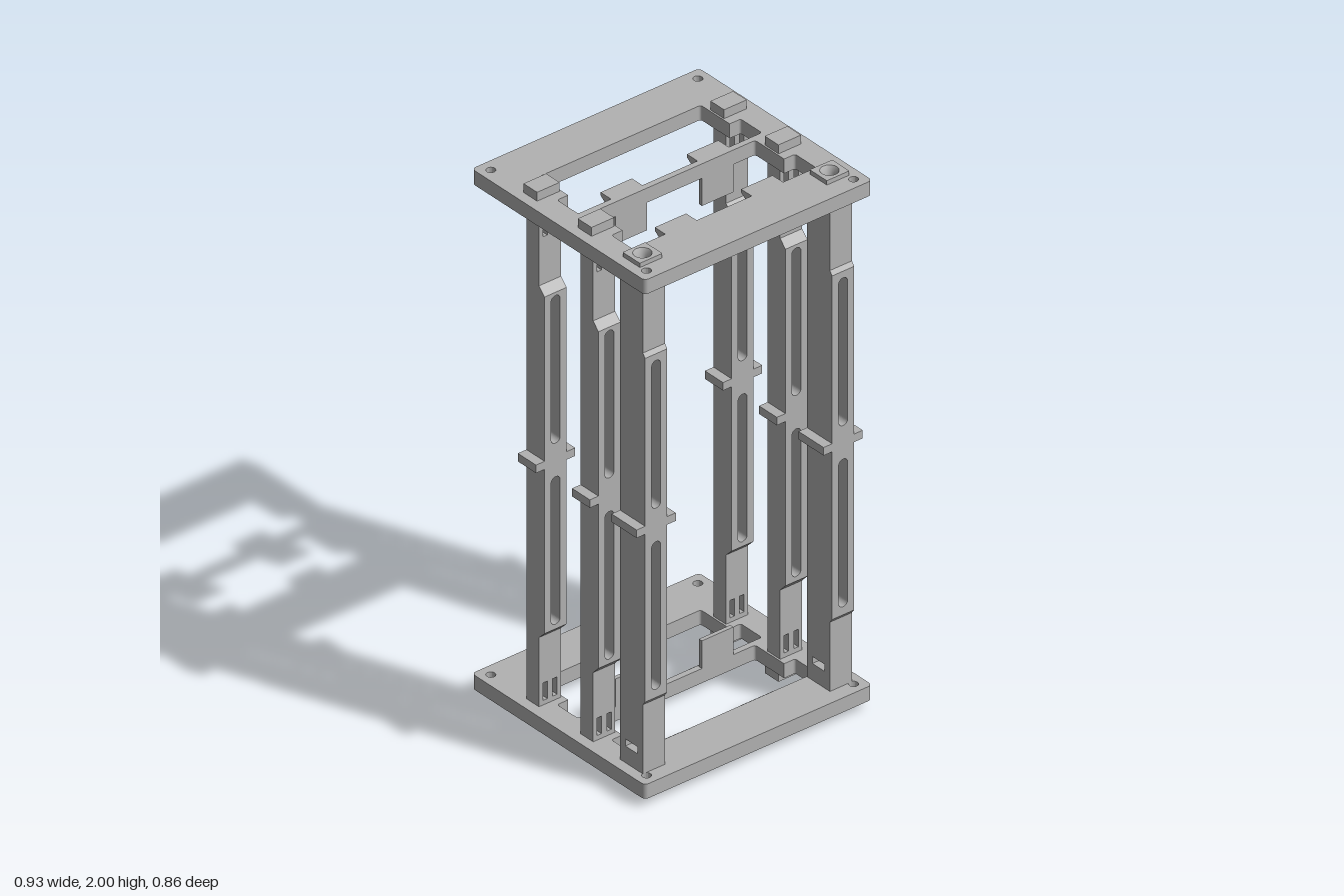
import * as THREE from 'three';

const grey = new THREE.MeshStandardMaterial({ color: 0xb2b2b2 });
grey.name = 'grey plastic';

const PX = 0.382;      // pillar centre, either side
const HALF = 0.045;    // half pillar width
const IN = 1.913, OUT = 1.967; // inner and outer face of the top plate

function add(parent, name, geometry) {
  const mesh = new THREE.Mesh(geometry, grey);
  mesh.name = name;
  parent.add(mesh);
  return mesh;
}

function box(parent, name, x0, x1, y0, y1, z0, z1) {
  const g = new THREE.BoxGeometry(x1 - x0, y1 - y0, z1 - z0);
  g.translate((x0 + x1) / 2, (y0 + y1) / 2, (z0 + z1) / 2);
  return add(parent, name, g);
}

// Closed outline from [x, y, cornerRadius] points
function outline(points, Type = THREE.Shape) {
  const path = new Type();
  const n = points.length;
  points.forEach(([x, y, r = 0], i) => {
    const toward = ([px, py]) => {
      const d = Math.hypot(px - x, py - y);
      return [x + (px - x) * r / d, y + (py - y) * r / d];
    };
    const a = toward(points[(i + n - 1) % n]), b = toward(points[(i + 1) % n]);
    if (i === 0) path.moveTo(...a); else path.lineTo(...a);
    if (r) path.quadraticCurveTo(x, y, ...b);
  });
  path.closePath();
  return path;
}

const rect = (x0, x1, y0, y1, r = 0, Type = THREE.Shape) =>
  outline([[x0, y0, r], [x1, y0, r], [x1, y1, r], [x0, y1, r]], Type);

function circle(x, y, r) {
  const p = new THREE.Path();
  p.absarc(x, y, r, 0, Math.PI * 2, true);
  return p;
}

const extrude = (shape, depth) =>
  new THREE.ExtrudeGeometry(shape, { depth, bevelEnabled: false, curveSegments: 10 });

// Shape drawn in (x, -z), raised from y0 to y1
const extrudeUp = (shape, y0, y1) =>
  extrude(shape, y1 - y0).rotateX(-Math.PI / 2).translate(0, y0, 0);

// Shape drawn in (z, y), running from x0 to x1
const extrudeAcross = (shape, x0, x1) =>
  extrude(shape, x1 - x0).rotateY(-Math.PI / 2).translate(x1, 0, 0);

// Rounded slot upright in a pillar
function slot(y0, y1, r = 0.0185) {
  const p = new THREE.Path();
  p.absarc(0, y1 - r, r, 0, Math.PI, false);
  p.absarc(0, y0 + r, r, Math.PI, Math.PI * 2, false);
  p.closePath();
  return p;
}
const longSlots = () => [slot(0.39, 0.94), slot(1.065, 1.615)];

// End plate with openings, catches, tenon blocks and screw bosses (top position)
function endPlate(name) {
  const g = new THREE.Group();
  g.name = name;
  const plate = rect(-0.465, 0.465, -0.428, 0.428, 0.02);
  // two stepped openings: [back edge, step, front edge]
  const openings = [[-0.257, -0.114, -0.01], [0.012, 0.155, 0.258]];
  for (const [back, step, front] of openings) {
    plate.holes.push(outline([
      [-0.33, -back, 0.012], [0.33, -back, 0.012], [0.33, -step], [0.375, -step, 0.01],
      [0.375, -front, 0.01], [-0.375, -front, 0.01], [-0.375, -step, 0.01], [-0.33, -step],
    ], THREE.Path));
    for (const s of [-1, 1]) {
      const x0 = s * 0.1765 - 0.064, x1 = x0 + 0.128;
      // sloped catch inside the opening
      const wedge = outline([[front + 0.002, IN + 0.002], [front + 0.002, OUT],
        [front - 0.052, OUT], [front - 0.052, OUT - 0.012]]);
      add(g, 'slopedCatch', extrudeAcross(wedge, x0, x1));
    }
  }
  for (const s of [-1, 1]) {
    for (const z of [-0.384, 0.386]) plate.holes.push(circle(s * 0.423, -z, 0.016));
    plate.holes.push(circle(s * PX, -0.316, 0.031));
    // upright tab on the middle bar
    box(g, 'guideTab', s * 0.1765 - 0.064, s * 0.1765 + 0.064, 1.81, IN, -0.003, 0.012);
    // tenon blocks standing proud of the plate
    for (const [z0, z1] of [[-0.216, -0.149], [0.052, 0.12]])
      box(g, 'tenon', s * PX - 0.046, s * PX + 0.046, IN, 2, z0, z1);
    // countersunk screw boss
    const boss = rect(s * PX - 0.046, s * PX + 0.046, -0.359, -0.274, 0.003);
    boss.holes.push(circle(s * PX, -0.316, 0.031));
    add(g, 'screwBoss', extrudeUp(boss, OUT, 1.983));
    const sink = [[0.031, 1.983], [0.017, 1.958], [0.017, 1.92], [0.0001, 1.92]]
      .map(([r, y]) => new THREE.Vector2(r, y));
    add(g, 'countersink', new THREE.LatheGeometry(sink, 24).translate(s * PX, 0, 0.316));
  }
  add(g, 'plate', extrudeUp(plate, IN, OUT));
  return g;
}

// Upright pillar: back z, front z at the ends, front z of the thick middle, chamfer heights
function pillar(name, x, zBack, zEnd, zMid, cham0, cham1, screwed) {
  const g = new THREE.Group();
  g.name = name;
  g.position.x = x;
  const top = screwed ? 1.79 : IN;
  const body = rect(-HALF, HALF, 2 - top, top);
  body.holes.push(...longSlots());
  if (!screwed) {
    // pair of narrow clip slots at both ends
    for (const y of [0.104, 1.831])
      for (const s of [-1, 1])
        body.holes.push(rect(s * 0.02 - 0.009, s * 0.02 + 0.009, y, y + 0.065, 0, THREE.Path));
  }
  add(g, 'pillarBody', extrude(body, zEnd - zBack).translate(0, 0, zBack));

  // thick middle, its front edge drawn in to make the chamfers
  const pad = rect(-HALF, HALF, 2 - cham1, cham1);
  pad.holes.push(...longSlots());
  const padGeo = extrude(pad, zMid - zEnd).translate(0, 0, zEnd);
  const pos = padGeo.attributes.position;
  for (let i = 0; i < pos.count; i++) {
    if (pos.getZ(i) < zMid - 0.001) continue;
    const y = pos.getY(i);
    if (Math.abs(y - 1) > cham1 - 1 - 0.001) pos.setY(i, 1 + Math.sign(y - 1) * (cham0 - 1));
  }
  padGeo.computeVertexNormals();
  add(g, 'thickMiddle', padGeo);

  // small cross rib at mid height
  for (const [x0, x1] of [[-0.08, -HALF], [HALF, 0.08]])
    box(g, 'crossRib', x0, x1, 0.985, 1.015, zBack, zMid);

  if (screwed) {
    // solid ends with a nut pocket, on the +x side above and the -x side below
    for (const s of [1, -1]) {
      const end = s > 0 ? [1.79, IN] : [2 - IN, 0.21];
      box(g, 'pillarEnd', s > 0 ? -HALF : 0, s > 0 ? 0 : HALF, ...end, zBack, zEnd);
      const wall = rect(zBack, zEnd, ...end);
      const y = 1 + s * 0.838;
      wall.holes.push(rect(0.286, 0.346, y - 0.013, y + 0.013, 0, THREE.Path));
      add(g, 'nutPocketWall', extrudeAcross(wall, s > 0 ? 0 : -HALF, s > 0 ? HALF : 0));
    }
  }
  return g;
}

export function createModel() {
  const model = new THREE.Group();
  model.name = 'rackFrame';

  model.add(endPlate('topPlate'));
  // the bottom plate is the same part turned over
  const bottom = endPlate('bottomPlate');
  bottom.rotation.z = Math.PI;
  bottom.position.y = 2;
  model.add(bottom);

  for (const s of [-1, 1]) {
    const side = s > 0 ? 'left' : 'right';
    model.add(pillar(side + 'FrontPillar', s * PX, 0.26, 0.373, 0.384, 1.64, 1.655, true));
    model.add(pillar(side + 'MiddlePillar', s * PX, 0.065, 0.127, 0.153, 1.627, 1.655, false));
    model.add(pillar(side + 'BackPillar', s * PX, -0.203, -0.141, -0.113, 1.627, 1.655, false));
  }
  return model;
}
